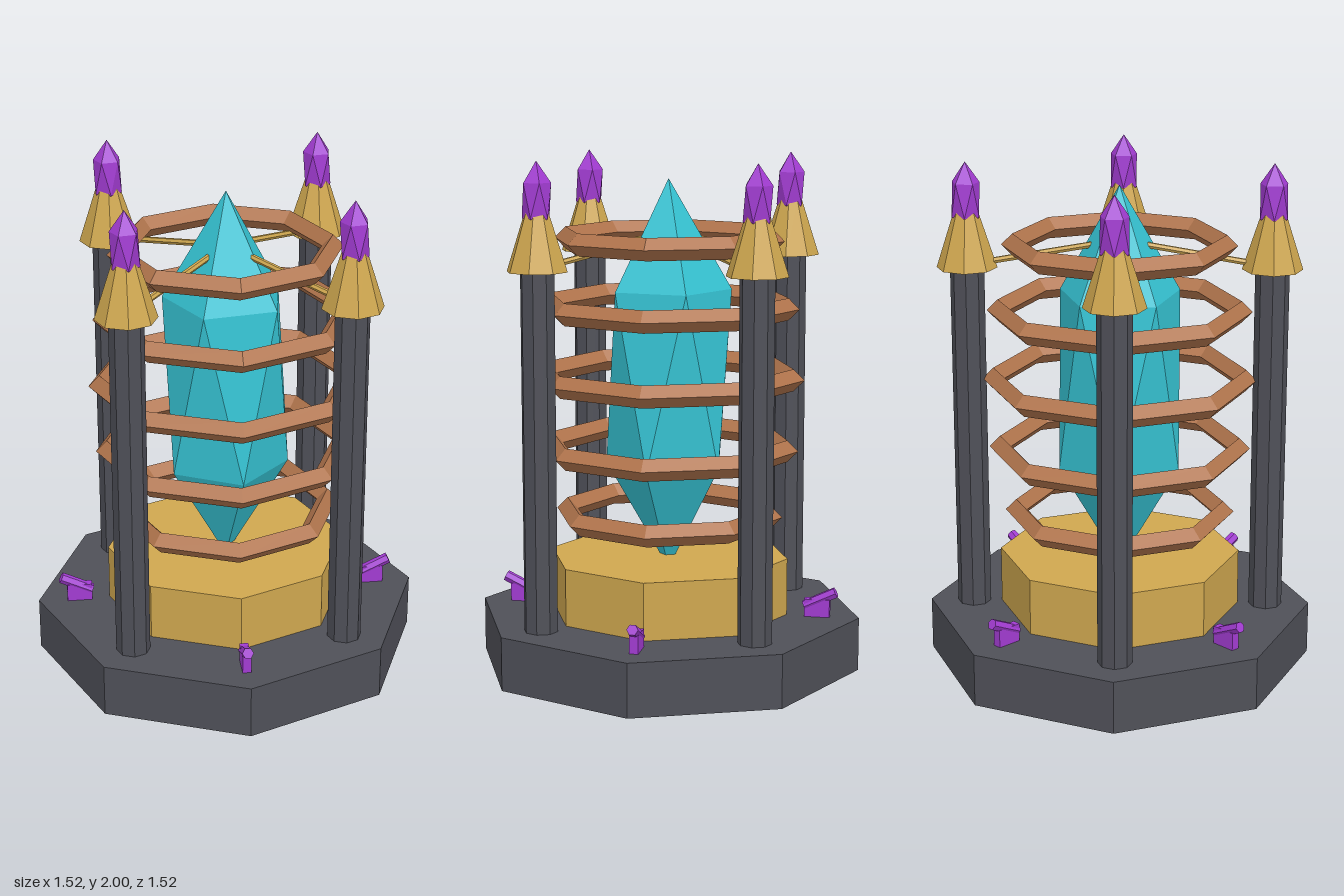
import * as THREE from 'three';
import { ConvexGeometry } from 'three/addons/geometries/ConvexGeometry.js';

const paint = (name, color) => {
  const m = new THREE.MeshStandardMaterial({ color, flatShading: true });
  m.name = name;
  return m;
};

// Stretched twenty-sided crystal: two tips and two opposed rings of five
function crystalGeometry(radius, halfHeight) {
  const points = [new THREE.Vector3(0, halfHeight, 0), new THREE.Vector3(0, -halfHeight, 0)];
  for (let i = 0; i < 5; i++) {
    for (const side of [1, -1]) {
      const a = (i * 2 * Math.PI) / 5 + (side < 0 ? Math.PI / 5 : 0);
      points.push(new THREE.Vector3(radius * Math.cos(a), side * 0.447 * halfHeight, radius * Math.sin(a)));
    }
  }
  return new ConvexGeometry(points);
}

export function createModel() {
  const model = new THREE.Group();
  model.name = 'crystalReactor';
  const stone = paint('darkStone', 0x4f5058);
  const gold = paint('gold', 0xcfa74f);
  const copper = paint('copper', 0xb0744c);
  const teal = paint('tealCrystal', 0x36c4d4);
  const purple = paint('purpleCrystal', 0xa23cd2);

  const add = (parent, name, geometry, material, x = 0, y = 0, z = 0) => {
    const mesh = new THREE.Mesh(geometry, material);
    mesh.name = name;
    mesh.position.set(x, y, z);
    parent.add(mesh);
    return mesh;
  };

  // Round bar between two points in the local x-y plane
  const bar = (parent, name, x0, y0, x1, y1, radius, material) => {
    const length = Math.hypot(x1 - x0, y1 - y0);
    const mesh = add(parent, name, new THREE.CylinderGeometry(radius, radius, length, 6),
      material, (x0 + x1) / 2, (y0 + y1) / 2);
    mesh.rotation.z = Math.atan2(y1 - y0, x1 - x0) - Math.PI / 2;
  };

  // Base and plinth
  add(model, 'base', new THREE.CylinderGeometry(0.76, 0.76, 0.21, 8), stone, 0, 0.105, 0);
  add(model, 'plinth', new THREE.CylinderGeometry(0.475, 0.475, 0.225, 8), gold, 0, 0.3225, 0);

  // Central crystal
  add(model, 'coreCrystal', crystalGeometry(0.245, 0.77), teal, 0, 1.145, 0);

  // Coil of five diamond-section rings
  [[0.41, 0.6], [0.47, 0.865], [0.492, 1.145], [0.47, 1.42], [0.41, 1.68]].forEach(([r, y], i) => {
    const ring = add(model, 'coilRing' + (i + 1), new THREE.TorusGeometry(r, 0.043, 4, 8), copper, 0, y, 0);
    ring.rotation.x = Math.PI / 2;
  });

  // Four pillars with caps, finial gems and struts to the core
  const pillarGeo = new THREE.CylinderGeometry(0.066, 0.066, 1.39, 8);
  const capGeo = new THREE.CylinderGeometry(0.046, 0.117, 0.22, 8);
  const gemGeo = crystalGeometry(0.055, 0.145);
  for (let i = 0; i < 4; i++) {
    const angle = (i * Math.PI) / 2;
    const arm = new THREE.Group();
    arm.name = 'pillarArm' + (i + 1);
    arm.rotation.y = angle;
    model.add(arm);
    add(arm, 'pillar', pillarGeo, stone, 0.585, 0.9, 0);
    add(arm, 'cap', capGeo, gold, 0.585, 1.7, 0);
    add(arm, 'finialGem', gemGeo, purple, 0.585, 1.855, 0).rotation.y = -angle;
    bar(arm, 'strut', 0.585, 1.6, 0.06, 1.69, 0.0125, gold);

    // Small shard on the base between the pillars
    const shard = new THREE.Group();
    shard.name = 'shard' + (i + 1);
    shard.rotation.y = angle + Math.PI / 4;
    model.add(shard);
    add(shard, 'shardFoot', new THREE.BoxGeometry(0.1, 0.075, 0.034), purple, 0.595, 0.2425, 0);
    bar(shard, 'shardBar', 0.545, 0.25, 0.668, 0.309, 0.022, purple);
  }
  return model;
}
